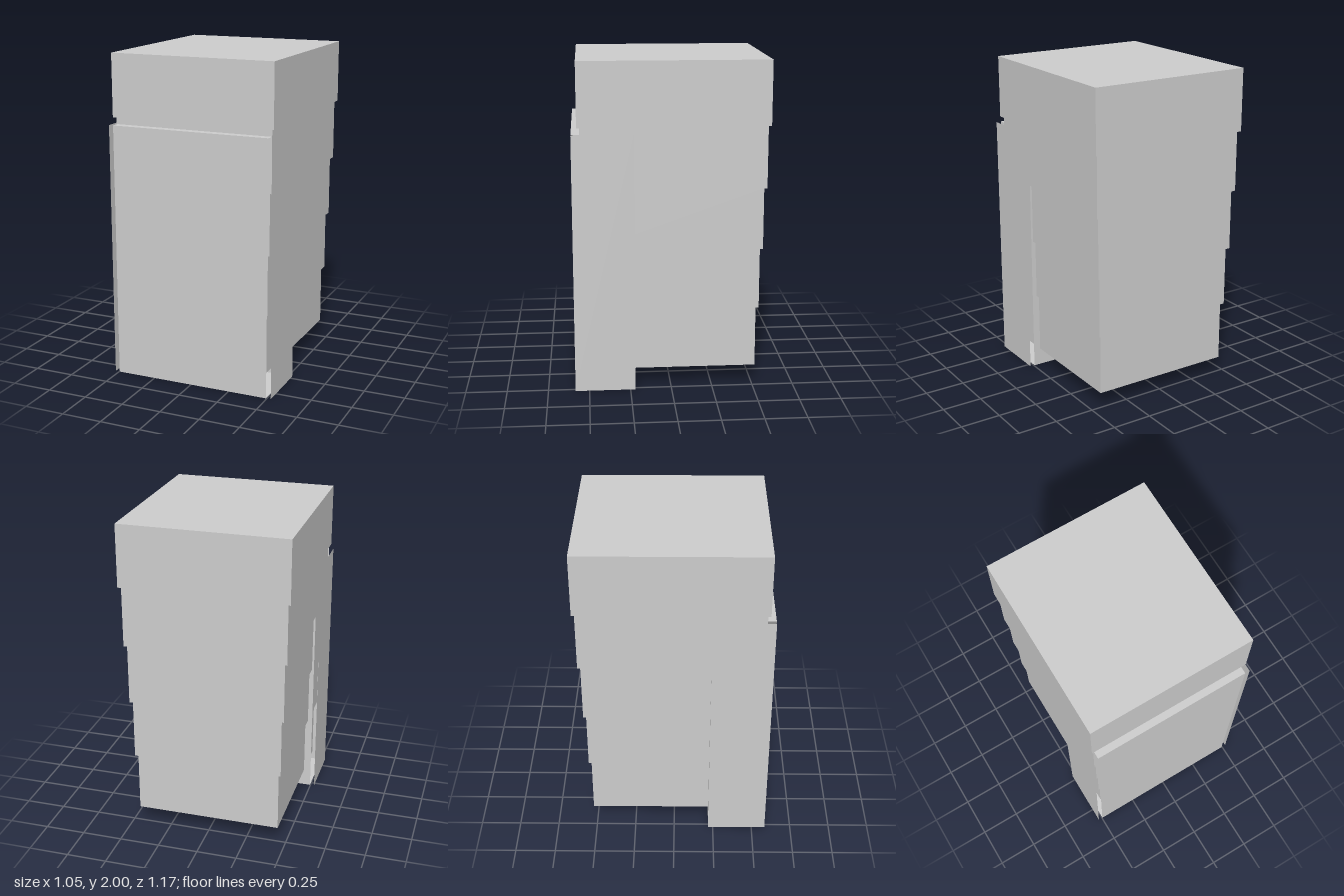
import * as THREE from 'three';

export function createModel() {
  const model = new THREE.Group();
  const grey = new THREE.MeshStandardMaterial({ color: 0xcccccc, side: THREE.DoubleSide });
  grey.name = 'plain grey';

  // Stacked blocks, each a little larger than the one below
  const stack = new THREE.Group();
  stack.name = 'blockStack';
  const levels = [0.11, 0.487, 0.863, 1.24, 1.615, 2];
  for (let i = 0; i < 5; i++) {
    const grow = 0.0161 * i;
    const height = levels[i + 1] - levels[i];
    const block = new THREE.Mesh(
      new THREE.BoxGeometry(2 * (0.451 + grow), height, 2 * (0.504 + grow)), grey);
    block.position.set(-0.001, levels[i] + height / 2, -0.017);
    block.name = `block${i + 1}`;
    stack.add(block);
  }
  model.add(stack);

  // Hollow front cover made of single sheets, with the side sheets standing clear
  const cover = new THREE.Group();
  cover.name = 'frontCover';
  const W = 0.992, H = 1.573, D = 0.365, zFront = 0.585, zMid = zFront - D / 2;
  function sheet(name, w, h, position, rx = 0, ry = 0) {
    const mesh = new THREE.Mesh(new THREE.PlaneGeometry(w, h), grey);
    mesh.name = name;
    mesh.position.set(...position);
    mesh.rotation.set(rx, ry, 0);
    cover.add(mesh);
  }
  sheet('frontSheet', W, H, [-0.001, H / 2, zFront]);
  sheet('backSheet', W, H, [-0.001, H / 2, zFront - D], 0, Math.PI);
  sheet('topSheet', W, D, [-0.001, H, zMid], -Math.PI / 2);
  sheet('bottomSheet', W, D, [-0.001, 0, zMid], Math.PI / 2);
  for (const [name, s] of [['leftSheet', 1], ['rightSheet', -1]])
    sheet(name, D, H, [s * 0.525, H / 2, zMid], 0, s * Math.PI / 2);
  model.add(cover);

  return model;
}
